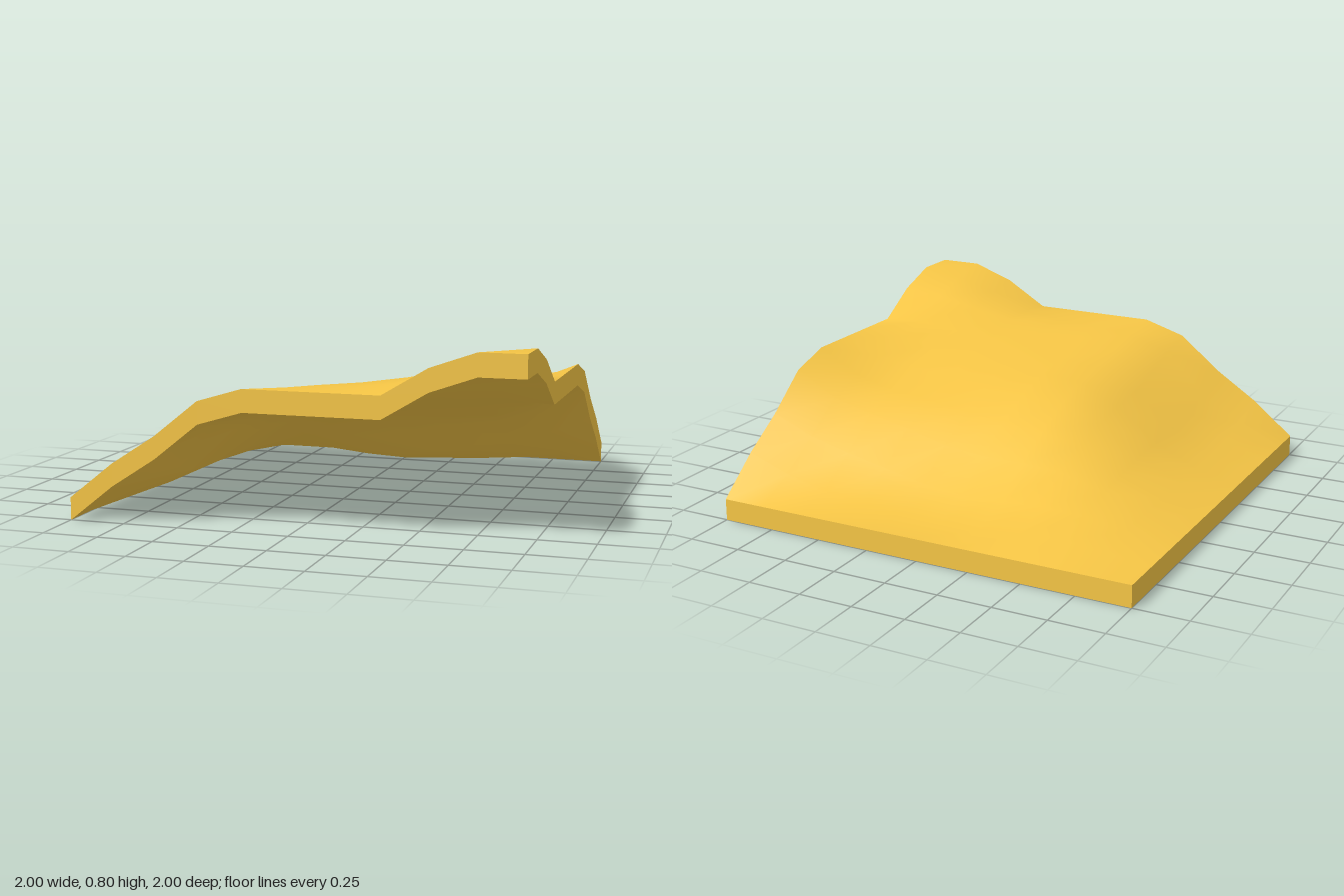
import * as THREE from 'three';

const N = 10, THICK = 0.1;

// Cross-sections of the underside from back to front, heights in hundredths
const SECTIONS = [
  [0, 0, 0, 0, 0, 0, 0, 0, 0, 0, 0],
  [0, 2, 4, 3, 1, 0, 1, 2, 4, 9, 16],
  [0, 4, 7, 8, 7, 6, 8, 12, 16, 21, 29],
  [0, 5, 11, 17, 18, 18, 20, 25, 29, 34, 45],
  [0, 5, 13, 23, 27, 28, 30, 33, 35, 40, 51],
  [0, 6, 15, 28, 34, 36, 37, 39, 41, 44, 51],
  [0, 6, 15, 30, 39, 41, 43, 45, 47, 49, 51],
  [0, 6, 16, 32, 41, 43, 46, 48, 50, 52, 51],
  [0, 7, 17, 36, 45, 48, 50, 53, 57, 61, 63],
  [0, 10, 22, 41, 48, 50, 51, 53, 61, 67, 70],
  [0, 16, 29, 45, 51, 51, 51, 51, 63, 70, 70],
];

const coord = (i) => -1 + (2 * i) / N;
const height = (ix, iz) => SECTIONS[iz][ix] / 100;

// Smooth terrain sheet; flipped it faces downwards
function sheet(lift, flip) {
  const geo = new THREE.PlaneGeometry(2, 2, N, N).rotateX(-Math.PI / 2);
  const pos = geo.attributes.position;
  for (let iz = 0; iz <= N; iz++)
    for (let ix = 0; ix <= N; ix++)
      pos.setY(iz * (N + 1) + ix, height(ix, iz) + lift);
  if (flip) geo.setIndex(Array.from(geo.index.array).reverse());
  geo.computeVertexNormals();
  return geo;
}

// Vertical strip along one border; cell(i) gives the grid cell of step i
function wall(cell) {
  const verts = [], index = [];
  for (let i = 0; i <= N; i++) {
    const [ix, iz] = cell(i);
    const y = height(ix, iz);
    verts.push(coord(ix), y, coord(iz), coord(ix), y + THICK, coord(iz));
    if (i < N) {
      const a = 2 * i;
      index.push(a, a + 2, a + 1, a + 1, a + 2, a + 3);
    }
  }
  const geo = new THREE.BufferGeometry();
  geo.setAttribute('position', new THREE.Float32BufferAttribute(verts, 3));
  geo.setIndex(index);
  geo.computeVertexNormals();
  return geo;
}

export function createModel() {
  const group = new THREE.Group();
  group.name = 'terrainTile';
  const material = new THREE.MeshStandardMaterial({ color: 0xf5c545 });
  const add = (name, geo) => {
    const mesh = new THREE.Mesh(geo, material);
    mesh.name = name;
    group.add(mesh);
  };

  // Ground surface and its underside
  add('ground', sheet(THICK, false));
  add('underside', sheet(0, true));

  // Border walls, running anticlockwise seen from above
  add('frontEdge', wall((i) => [i, N]));
  add('leftEdge', wall((i) => [N, N - i]));
  add('backEdge', wall((i) => [N - i, 0]));
  add('rightEdge', wall((i) => [0, i]));

  return group;
}
